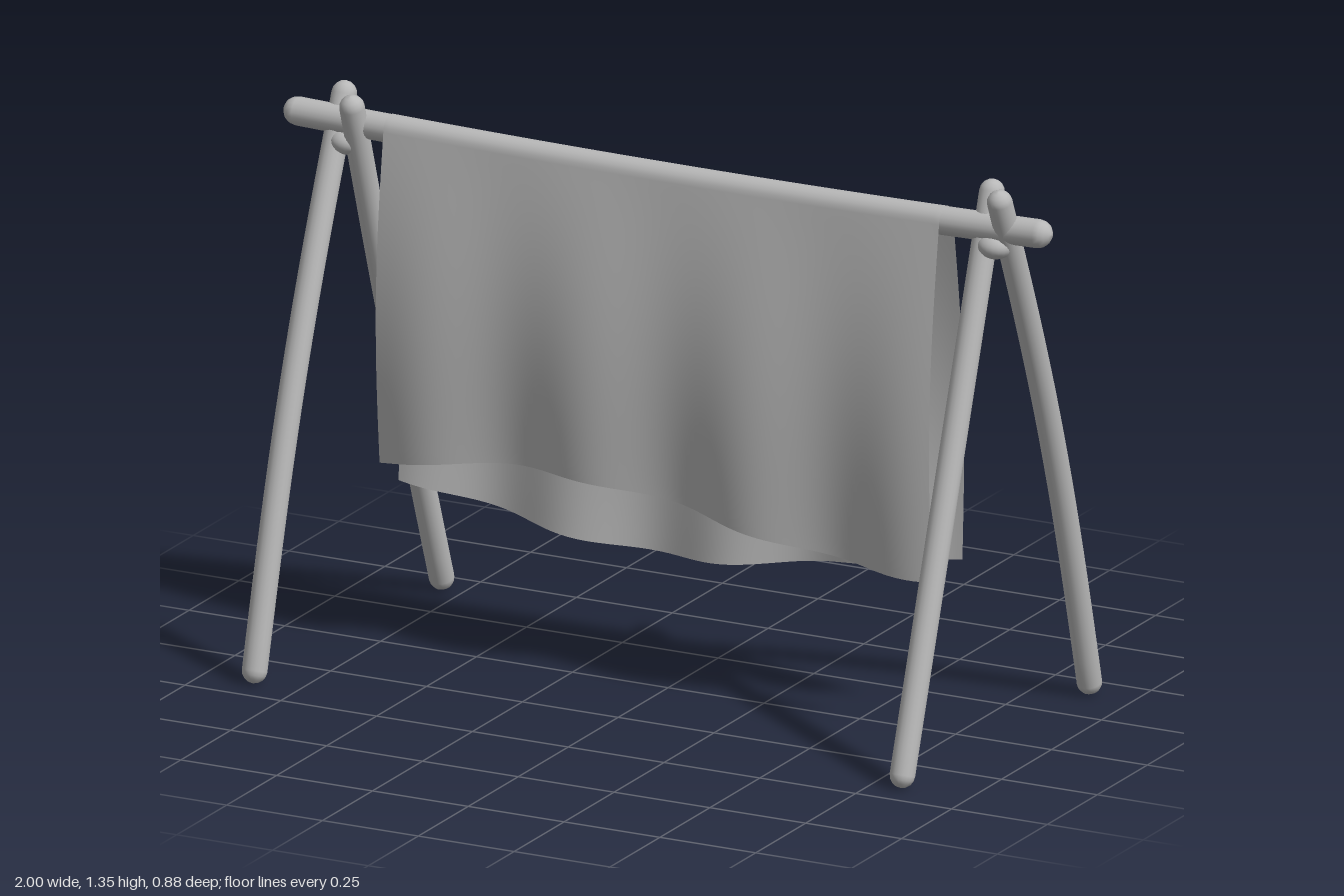
import * as THREE from 'three';

const ridgeY = (x) => 1.242 + 0.014 * x * x - 0.004 * x;
const R = 0.034;

// Round-ended pole along y, with its vertices bent sideways by a rule
function pole(radius, length, bend) {
  const geo = new THREE.CapsuleGeometry(radius, length, 4, 18, 20);
  const p = geo.attributes.position;
  for (let i = 0; i < p.count; i++) bend(p, i);
  geo.computeVertexNormals();
  return geo;
}

// Cloth: cross-sections running from the front hem, over the ridge, to the back hem
function clothGeometry() {
  const columns = 96, drop = 24, arc = 10, half = 0.725;
  const pos = [], index = [];
  const fold = (t, wave) => R + 0.001 + 0.025 * t + 0.028 * Math.sin(Math.PI * t) + 0.022 * t * wave;
  const rows = 2 * drop + arc + 1;
  for (let c = 0; c <= columns; c++) {
    const x = -half + (2 * half * c) / columns;
    const top = ridgeY(x);
    const frontHem = 0.443 + 0.057 * Math.cos((x + 0.3) * 3.2);
    const backHem = 0.355 - 0.055 * Math.cos((x + 0.05) * 3.2);
    for (let i = 0; i < drop; i++) {
      const t = 1 - i / drop;
      pos.push(x, THREE.MathUtils.lerp(top, frontHem, t), fold(t, Math.cos((x + 0.6) * 14.9)));
    }
    for (let i = 0; i <= arc; i++) {
      const a = (Math.PI * i) / arc;
      pos.push(x, top + (R + 0.001) * Math.sin(a), (R + 0.001) * Math.cos(a));
    }
    for (let i = 1; i <= drop; i++) {
      const t = i / drop;
      pos.push(x, THREE.MathUtils.lerp(top, backHem, t), -fold(t, Math.cos((x + 0.49) * 15.4)));
    }
  }
  for (let c = 0; c < columns; c++) {
    for (let r = 0; r < rows - 1; r++) {
      const a = c * rows + r, b = a + rows;
      index.push(a, b, a + 1, b, b + 1, a + 1);
    }
  }
  const geo = new THREE.BufferGeometry();
  geo.setAttribute('position', new THREE.Float32BufferAttribute(pos, 3));
  geo.setIndex(index);
  geo.computeVertexNormals();
  return geo;
}

export function createModel() {
  const model = new THREE.Group();
  model.name = 'clothFrame';
  const gray = new THREE.MeshStandardMaterial({ color: 0xb8b8b8, side: THREE.DoubleSide });
  gray.name = 'plainGray';
  const add = (name, geo) => {
    const mesh = new THREE.Mesh(geo, gray);
    mesh.name = name;
    model.add(mesh);
    return mesh;
  };

  // Slightly sagging ridge pole
  const ridge = pole(R, 2 - 2 * R, () => {});
  ridge.rotateZ(-Math.PI / 2);
  const rp = ridge.attributes.position;
  for (let i = 0; i < rp.count; i++) rp.setY(i, rp.getY(i) + ridgeY(rp.getX(i)));
  ridge.computeVertexNormals();
  add('ridgePole', ridge);

  // Crossed legs: x, side (1 front, -1 back), height of the top, outward bow
  const legs = [
    ['rightFrontLeg', -0.865, 1, 1.307, 0.034],
    ['rightBackLeg', -0.805, -1, 1.303, -0.008],
    ['leftFrontLeg', 0.825, 1, 1.322, 0],
    ['leftBackLeg', 0.885, -1, 1.326, 0.034],
  ];
  for (const [name, x, side, topY, bow] of legs) {
    const dz = -side * 0.448, dy = topY - 0.031;
    const length = Math.hypot(dz, dy);
    const geo = pole(0.03, length, (p, i) => {
      const k = THREE.MathUtils.clamp(p.getY(i) / length, -0.5, 0.5);
      p.setZ(i, p.getZ(i) + side * bow * Math.cos(Math.PI * k));
    });
    const leg = add(name, geo);
    leg.rotation.x = Math.atan2(dz, dy);
    leg.position.set(x, 0.031 + dy / 2, side * 0.41 + dz / 2);
  }

  // Knots binding each pair of legs under the ridge
  for (const [name, x] of [['rightKnot', -0.835], ['leftKnot', 0.855]]) {
    const knot = add(name, new THREE.SphereGeometry(1, 20, 14));
    knot.scale.set(0.045, 0.032, 0.045);
    knot.position.set(x, 1.207, 0);
  }

  add('hangingCloth', clothGeometry());
  return model;
}
